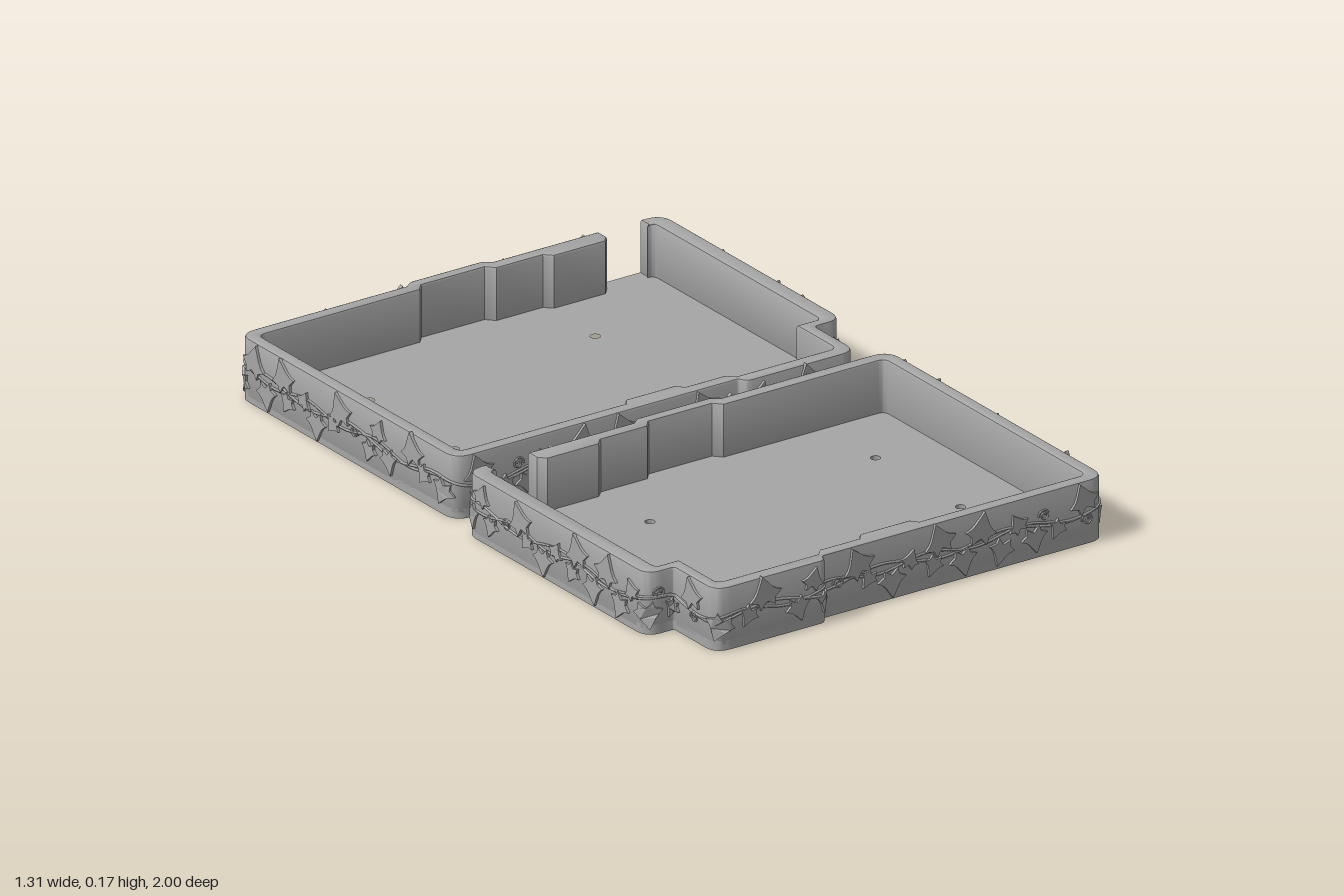
import * as THREE from 'three';
import { toCreasedNormals } from 'three/addons/utils/BufferGeometryUtils.js';

const HEIGHT = 0.17, FLOOR = 0.026, BEVEL = 0.008;

// plan outlines as [x, z, cornerRadius]; both start and end at the wall opening
const OUTER = [
  [0.585, -0.975, 0], [0.648, -0.975, 0.05], [0.648, -0.195, 0.045], [0.565, -0.195, 0.01],
  [0.565, -0.016, 0.045], [0.235, -0.016, 0.015], [0.225, -0.04, 0.005], [-0.628, -0.04, 0.05],
  [-0.628, -0.975, 0.05], [-0.12, -0.975, 0.005], [-0.1, -0.992, 0.01], [0.12, -0.992, 0.01],
  [0.14, -0.975, 0.005], [0.458, -0.975, 0],
];
const INNER = [
  [0.458, -0.938, 0], [0.44, -0.918, 0], [0.285, -0.918, 0], [0.265, -0.938, 0],
  [0.125, -0.938, 0], [0.105, -0.96, 0], [-0.085, -0.96, 0], [-0.105, -0.938, 0],
  [-0.59, -0.938, 0.02], [-0.59, -0.077, 0.02], [-0.09, -0.077, 0], [-0.075, -0.097, 0],
  [0.075, -0.097, 0], [0.09, -0.077, 0], [0.21, -0.077, 0], [0.23, -0.057, 0],
  [0.53, -0.057, 0.02], [0.53, -0.225, 0], [0.6, -0.225, 0.015], [0.6, -0.938, 0.02], [0.585, -0.938, 0],
];
const HOLES = [[-0.41, -0.72], [0.27, -0.72], [-0.41, -0.355], [0.27, -0.187]];

// leaves along the front: [x, y, size, turn]
const LEAVES = [
  [-0.54, 0.065, 0.07, 2.8], [-0.46, 0.08, 0.055, 2.6], [-0.41, 0.125, 0.085, 0.2],
  [-0.31, 0.062, 0.065, 3.4], [-0.265, 0.125, 0.06, -0.3], [-0.225, 0.06, 0.055, 2.9],
  [-0.1, 0.12, 0.085, 0.4], [-0.07, 0.075, 0.05, 2.5], [0, 0.048, 0.075, 3.2],
  [0.055, 0.092, 0.05, -0.4], [0.145, 0.122, 0.085, 0.3], [0.125, 0.062, 0.055, 2.7],
  [0.215, 0.05, 0.075, 3.3], [0.27, 0.118, 0.085, -0.2], [0.33, 0.048, 0.07, 2.8],
  [0.38, 0.105, 0.055, 0.5], [0.43, 0.055, 0.07, 3.3], [0.5, 0.066, 0.05, 2.6],
  [0.58, 0.122, 0.08, 0.3],
];
const CURLS = [[0.46, 0.11], [0.59, 0.066], [-0.16, 0.085]];
const FRONT_START = 1.04, FRONT_X = -0.565, REPEAT = 1.22;

// polyline with rounded corners, drawn in plan
function roundedPath(path, pts) {
  pts.forEach(([x, z, r], i) => {
    const p = new THREE.Vector2(x, -z);
    if (i === 0) return path.moveTo(p.x, p.y);
    if (!r || i === pts.length - 1) return path.lineTo(p.x, p.y);
    const step = (q) => p.clone().add(new THREE.Vector2(q[0], -q[1]).sub(p).setLength(r));
    const a = step(pts[i - 1]), b = step(pts[i + 1]);
    path.lineTo(a.x, a.y);
    path.quadraticCurveTo(p.x, p.y, b.x, b.y);
  });
  return path;
}

// upright solid from a plan shape
function extrudeUp(shape, y, depth, bevel) {
  const g = new THREE.ExtrudeGeometry(shape, {
    depth: depth - 2 * bevel, curveSegments: 8, bevelEnabled: bevel > 0,
    bevelSize: bevel, bevelThickness: bevel, bevelOffset: -bevel, bevelSegments: 2,
  });
  g.rotateX(-Math.PI / 2).translate(0, y + bevel, 0);
  return toCreasedNormals(g, 0.5);
}

// five-lobed ivy leaf of unit size
function leafShape() {
  const half = [[0.08, -0.3], [0.26, -0.45], [0.3, -0.22], [0.56, -0.08], [0.38, 0.03], [0.26, 0.16]];
  const pts = [[0, -0.25], ...half, [0, 0.58], ...half.map(([x, y]) => [-x, y]).reverse()];
  return new THREE.Shape(pts.map(([x, y]) => new THREE.Vector2(x, y)));
}

function makeTray(mirror, dz, material) {
  const tray = new THREE.Group();
  const add = (geometry, name) => {
    const mesh = new THREE.Mesh(geometry, material);
    mesh.name = name;
    tray.add(mesh);
  };
  const place = (list) => list.map(([x, z, r]) => [x * mirror, z + dz, r]);

  // floor with screw holes
  const floor = roundedPath(new THREE.Shape(), place(OUTER));
  for (const [x, z] of place(HOLES)) {
    floor.holes.push(new THREE.Path().absarc(x, -z, 0.013, 0, Math.PI * 2, true));
  }
  add(extrudeUp(floor, 0, FLOOR, 0), 'floor');

  // wall, open at one rear corner, sunk slightly into the floor
  const wall = roundedPath(new THREE.Shape(), place([...OUTER, ...INNER]));
  add(extrudeUp(wall, 0.008, HEIGHT - 0.008, BEVEL), 'wall');

  // maps distance along the wall, height and relief to a point on the outside
  const rail = roundedPath(new THREE.Path(), place(OUTER));
  const length = rail.getLength();
  const onWall = (s, y, out) => {
    const t = THREE.MathUtils.clamp(s / length, 0.001, 0.999);
    const p = rail.getPoint(t), d = rail.getTangent(t);
    return new THREE.Vector3(p.x - d.y * out * mirror, y, -p.y - d.x * out * mirror);
  };
  const tube = (points, radius, name) =>
    add(new THREE.TubeGeometry(new THREE.CatmullRomCurve3(points), points.length * 2, radius, 5), name);

  // two intertwined vine stems
  for (const [phase, amp, wave] of [[0, 0.014, 0.37], [2.2, 0.011, 0.29]]) {
    const points = [];
    for (let s = 0.012; s < length - 0.012; s += 0.018) {
      points.push(onWall(s, 0.088 + amp * Math.sin(phase + (s / wave) * Math.PI * 2), 0.001));
    }
    tube(points, 0.0035, 'vineStem');
  }

  // leaves and curled tendrils repeated around the wall
  const shape = leafShape();
  for (let k = -1; k <= 3; k++) {
    const along = (x) => FRONT_START + x - FRONT_X + k * REPEAT;
    const fits = (s) => s > 0.05 && s < length - 0.05;
    for (const [x, y, size, turn] of LEAVES) {
      const s = along(x);
      if (!fits(s)) continue;
      const g = new THREE.ExtrudeGeometry(shape, { depth: 1, bevelEnabled: false });
      g.scale(size, size, 0.011).rotateZ(turn).translate(0, 0, -0.004);
      const pos = g.attributes.position;
      for (let i = 0; i < pos.count; i++) {
        const p = onWall(s - mirror * pos.getX(i), y + pos.getY(i), pos.getZ(i));
        pos.setXYZ(i, p.x, p.y, p.z);
      }
      g.computeVertexNormals();
      add(g, 'ivyLeaf');
    }
    for (const [x, y] of CURLS) {
      const s = along(x);
      if (!fits(s)) continue;
      const points = [];
      for (let i = 0; i <= 16; i++) {
        const a = i * 0.6, r = 0.004 + i * 0.0008;
        points.push(onWall(s + r * Math.cos(a), y + r * Math.sin(a), 0.002));
      }
      tube(points, 0.0025, 'tendril');
    }
  }
  return tray;
}

export function createModel() {
  const grey = new THREE.MeshStandardMaterial({ color: 0xa6a6a6 });
  grey.name = 'grey';
  const model = new THREE.Group();
  const rear = makeTray(1, 0, grey);
  rear.name = 'rearTray';
  const front = makeTray(-1, 1.005, grey);
  front.name = 'frontTray';
  model.add(rear, front);
  return model;
}
